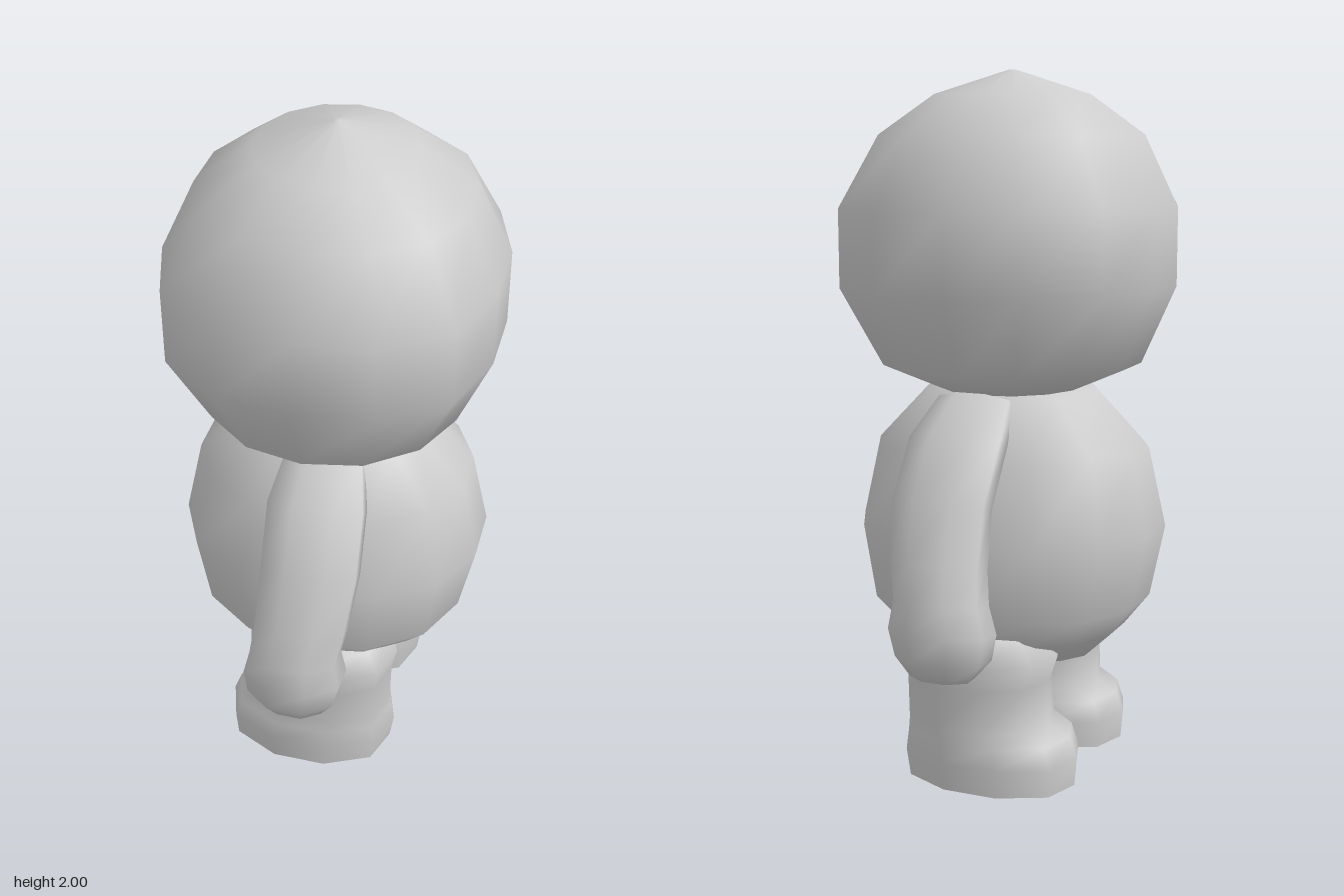
import * as THREE from 'three';

// Point on a rounded-square unit ring; p = 2 is a circle
function unit(a, p) {
  const c = Math.cos(a), s = Math.sin(a);
  const r = Math.pow(Math.abs(c) ** p + Math.abs(s) ** p, -1 / p);
  return [c * r, s * r];
}

// Smooth closed skin through rings listed from bottom to top
function loft(rings, flatBase = false) {
  const n = rings[0].length, pos = [], idx = [];
  const add = (v) => pos.push(...v) / 3 - 1;
  rings.forEach((ring) => ring.forEach(add));
  for (let i = 0; i < rings.length - 1; i++) {
    for (let j = 0; j < n; j++) {
      const k = (j + 1) % n;
      const a = i * n + j, c = i * n + k;
      idx.push(a, a + n, c, c, a + n, c + n);
    }
  }
  const cap = (ring, start, up) => {
    const mid = [0, 1, 2].map((q) => ring.reduce((s, v) => s + v[q], 0) / n);
    const m = add(mid);
    for (let j = 0; j < n; j++) {
      const a = start + j, b = start + (j + 1) % n;
      if (up) idx.push(m, b, a); else idx.push(m, a, b);
    }
  };
  let base = 0;
  if (flatBase) {
    base = pos.length / 3;
    rings[0].forEach(add);
  }
  cap(rings[0], base, false);
  cap(rings[rings.length - 1], (rings.length - 1) * n, true);
  const g = new THREE.BufferGeometry();
  g.setAttribute('position', new THREE.Float32BufferAttribute(pos, 3));
  g.setIndex(idx);
  g.computeVertexNormals();
  return g;
}

const angles = (n, start = 0) => Array.from({ length: n }, (_, j) => start + (j / n) * Math.PI * 2);

// Round form from rows of [y, half width x, half depth z, squareness]
function roundForm(rows) {
  return loft(rows.map(([y, rx, rz, p]) => angles(14, Math.PI / 2).map((a) => {
    const [u, v] = unit(a, p);
    return [u * rx, y, v * rz];
  })));
}

// Arm rows: inner z, inner y, outer z, outer y, back x, front x
const armRows = [
  [0.43, 0.38, 0.55, 0.38, -0.09, 0.09],
  [0.385, 0.425, 0.59, 0.44, -0.135, 0.13],
  [0.365, 0.49, 0.6, 0.52, -0.145, 0.15],
  [0.38, 0.57, 0.585, 0.6, -0.125, 0.135],
  [0.375, 0.66, 0.55, 0.7, -0.115, 0.155],
  [0.34, 0.82, 0.485, 0.86, -0.11, 0.175],
  [0.25, 0.97, 0.385, 1.02, -0.115, 0.17],
  [0.16, 1.06, 0.25, 1.12, -0.09, 0.135],
];

function arm(side) {
  return loft(armRows.map(([zi, yi, zo, yo, x0, x1]) => angles(8, Math.PI / 8).map((a) => {
    const [u, v] = unit(a, 2.3);
    const t = (1 + side * v) / 2;
    return [(x0 + x1) / 2 + u * (x1 - x0) / 2, yi + (yo - yi) * t, side * (zi + (zo - zi) * t)];
  })));
}

// Leg rows: y, toe x, heel x, half depth z
const legRows = [
  [0, -0.275, 0.225, 0.178],
  [0.08, -0.282, 0.237, 0.184],
  [0.14, -0.26, 0.228, 0.178],
  [0.175, -0.2, 0.222, 0.172],
  [0.3, -0.195, 0.225, 0.172],
  [0.37, -0.22, 0.24, 0.178],
  [0.44, -0.17, 0.2, 0.165],
];

function leg(side) {
  return loft(legRows.map(([y, x0, x1, d]) => angles(10).map((a) => {
    const [u, v] = unit(a, 2.4);
    return [(x0 + x1) / 2 + u * (x1 - x0) / 2, y, side * 0.2 + v * d];
  })), true);
}

export function createModel() {
  const model = new THREE.Group();
  model.name = 'roundFigure';
  const grey = new THREE.MeshStandardMaterial({ color: 0xcccccc });
  grey.name = 'plain grey';
  const part = (name, geometry) => {
    const mesh = new THREE.Mesh(geometry, grey);
    mesh.name = name;
    model.add(mesh);
  };

  // Large head
  part('head', roundForm([
    [1.105, 0.1, 0.11, 2], [1.11, 0.21, 0.23, 2], [1.18, 0.37, 0.38, 2.1],
    [1.4, 0.46, 0.47, 2.6], [1.62, 0.46, 0.47, 2.6],
    [1.82, 0.37, 0.38, 2.2], [1.93, 0.22, 0.24, 2], [1.998, 0.01, 0.01, 2],
  ]));

  // Egg-shaped body
  part('body', roundForm([
    [0.3, 0.03, 0.03, 2], [0.33, 0.25, 0.18, 2], [0.41, 0.335, 0.3, 2.1], [0.5, 0.405, 0.375, 2.2],
    [0.71, 0.45, 0.38, 2.2], [0.94, 0.4, 0.325, 2.2], [1.1, 0.25, 0.23, 2], [1.12, 0.1, 0.1, 2],
  ]));

  // Mirrored limbs; the toes point to -x
  for (const [label, side] of [['left', 1], ['right', -1]]) {
    part(label + 'Arm', arm(side));
    part(label + 'Leg', leg(side));
  }
  return model;
}
